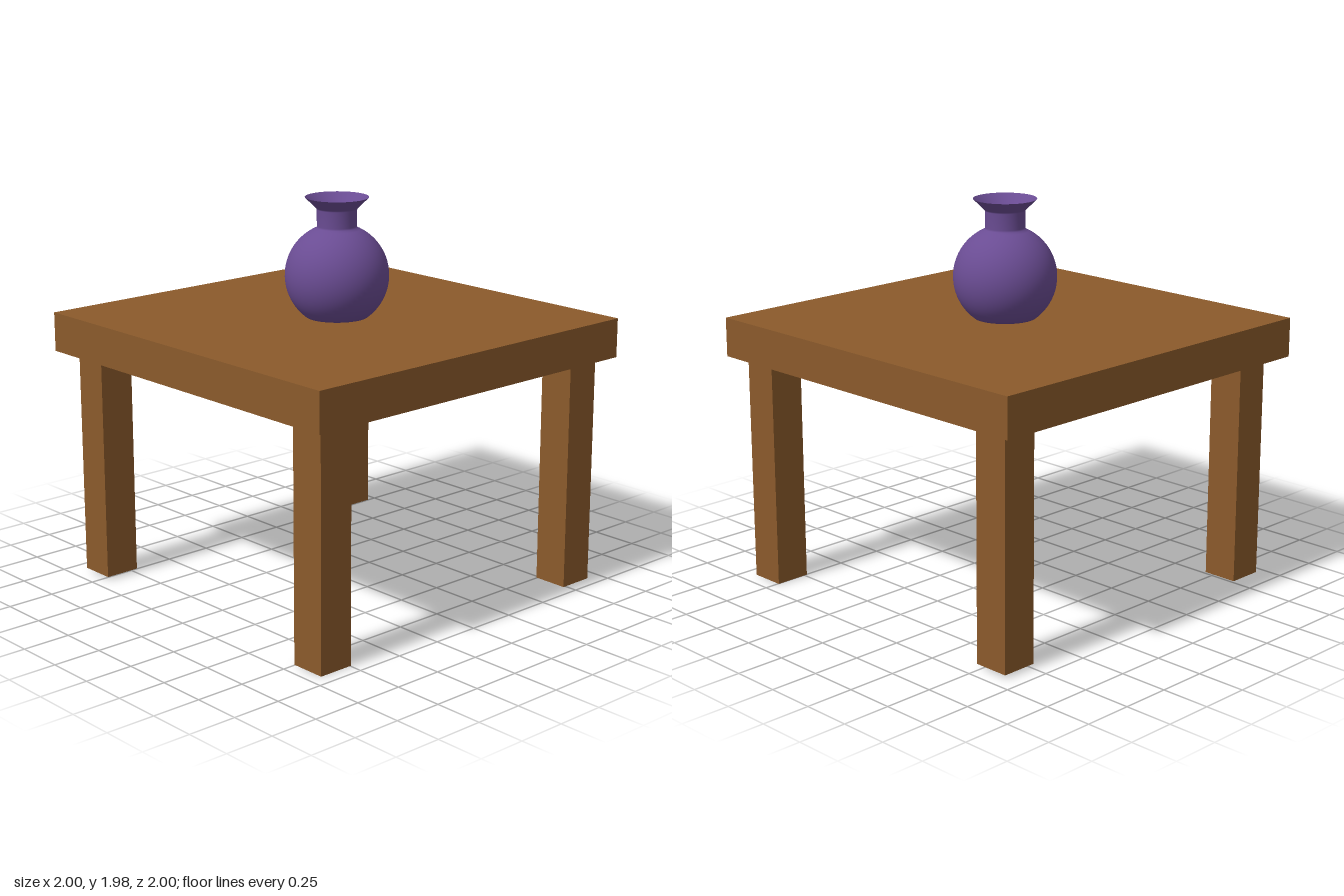
import * as THREE from 'three';

const wood = new THREE.MeshStandardMaterial({ color: 0x8b5a2b });
const glaze = new THREE.MeshStandardMaterial({ color: 0x6a4c93, side: THREE.DoubleSide });

function box(name, w, h, d, x, bottom, z) {
  const mesh = new THREE.Mesh(new THREE.BoxGeometry(w, h, d), wood);
  mesh.name = name;
  mesh.position.set(x, bottom + h / 2, z);
  return mesh;
}

// Open vase: flat foot, round belly, straight neck and flared lip
function createVase(baseY) {
  const radius = 0.26, centre = 0.21, neck = 0.1;
  const start = Math.asin(-(centre - 0.003) / radius);
  const end = Math.acos(neck / radius);
  const profile = [new THREE.Vector2(0, 0.003)];
  for (let i = 0; i <= 28; i++) {
    const a = start + (end - start) * i / 28;
    profile.push(new THREE.Vector2(radius * Math.cos(a), centre + radius * Math.sin(a)));
  }
  profile.push(
    new THREE.Vector2(neck, 0.46),
    new THREE.Vector2(neck, 0.542),
    new THREE.Vector2(0.106, 0.55),
    new THREE.Vector2(0.159, 0.603)
  );
  const vase = new THREE.Mesh(new THREE.LatheGeometry(profile, 64), glaze);
  vase.name = 'vase';
  vase.position.set(0, baseY, 0.02);
  return vase;
}

export function createModel() {
  const group = new THREE.Group();
  group.name = 'tableWithVase';

  // Thick square top
  group.add(box('tableTop', 2, 0.2, 2, 0, 1.18, 0));

  // Four legs, slightly uneven in placement and length
  const legs = [
    ['frontRightLeg', -0.838, 0, 0.838],
    ['frontLeftLeg', 0.828, 0, 0.838],
    ['backRightLeg', -0.828, 0.015, -0.813],
    ['backLeftLeg', 0.828, 0.015, -0.813]
  ];
  for (const [name, x, bottom, z] of legs) {
    group.add(box(name, 0.185, 1.19 - bottom, 0.185, x, bottom, z));
  }

  group.add(createVase(1.38));
  return group;
}
